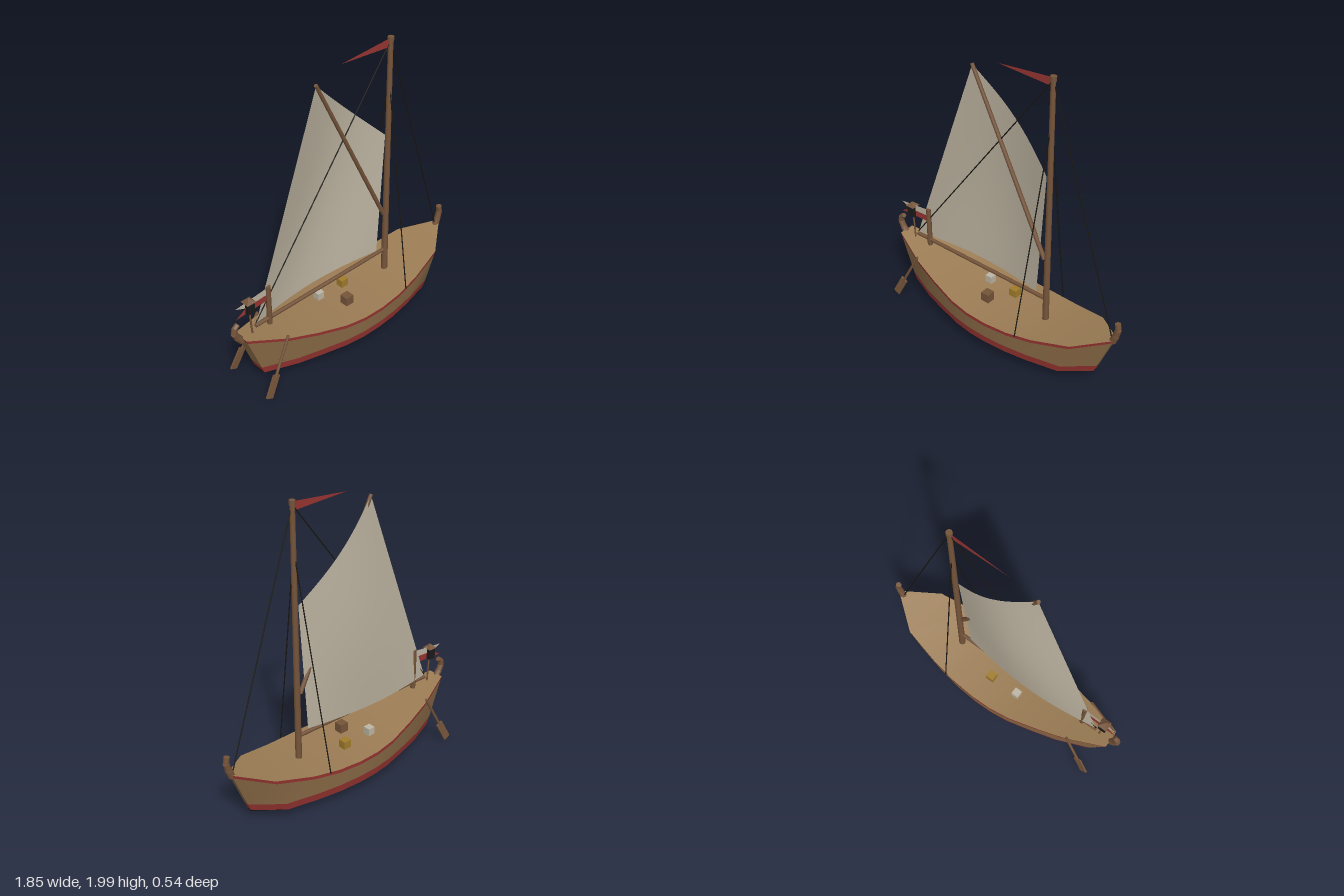
import * as THREE from 'three';

const mat = (color, extra = {}) => new THREE.MeshStandardMaterial({ color, ...extra });
const HULL = mat(0x8b6b47), DECK = mat(0x9c7d55), WOOD = mat(0x75543a), RED = mat(0x963430),
  BLACK = mat(0x1c1a1a), ROPE = mat(0x1a1712), GOLD = mat(0xa07c2c), CREAM = mat(0xbdb5a4);
const CLOTH = mat(0xbbb29f, { side: THREE.DoubleSide });
const RED_CLOTH = mat(0x963430, { side: THREE.DoubleSide });
const V = (x, y, z = 0) => new THREE.Vector3(x, y, z);

// Hull stations: deck-level x, half width, sheer height
const STATIONS = [
  [-0.86, 0.055, 0.44], [-0.61, 0.15, 0.37], [-0.42, 0.2, 0.328], [-0.22, 0.247, 0.295],
  [-0.07, 0.265, 0.282], [0.08, 0.268, 0.28], [0.25, 0.257, 0.288], [0.43, 0.23, 0.31],
  [0.68, 0.177, 0.365], [0.885, 0.02, 0.42],
];

function createModel() {
  const model = new THREE.Group();

  const add = (name, geometry, material, parent = model) => {
    const mesh = new THREE.Mesh(geometry, material);
    mesh.name = name;
    parent.add(mesh);
    return mesh;
  };

  // Surface through rows of points; it faces (along row) x (row to next row)
  const loft = (rows) => {
    const n = rows[0].length, index = [];
    for (let j = 0; j < rows.length - 1; j++)
      for (let i = 0; i < n - 1; i++) {
        const a = j * n + i, d = a + n;
        index.push(a, a + 1, d + 1, a, d + 1, d);
      }
    const g = new THREE.BufferGeometry().setFromPoints(rows.flat());
    g.setIndex(index);
    g.computeVertexNormals();
    return g;
  };

  // Straight round bar between two points
  const bar = (name, a, b, r0, r1 = r0, material = WOOD, sides = 8, parent = model) => {
    const dir = b.clone().sub(a);
    const mesh = add(name, new THREE.CylinderGeometry(r1, r0, dir.length(), sides), material, parent);
    mesh.position.copy(a).add(b).multiplyScalar(0.5);
    mesh.quaternion.setFromUnitVectors(V(0, 1), dir.normalize());
    return mesh;
  };

  const box = (name, w, h, d, x, y, z, material, parent = model) => {
    const mesh = add(name, new THREE.BoxGeometry(w, h, d), material, parent);
    mesh.position.set(x, y, z);
    return mesh;
  };

  // Hull: each level is a line of points from stern to bow, ends raked
  const hull = new THREE.Group();
  hull.name = 'hull';
  model.add(hull);
  const level = (k, side) => STATIONS.map(([x, w, top]) => {
    const keel = 0.025 + 0.055 * Math.abs(x / 0.87) ** 2.5;
    const y = [keel, keel + (0.1 - keel) * 0.4, 0.1, 0.155, top - 0.025, top][k];
    const f = [0, 0.62, 0.92, 0.955, 0.995, 1][k];
    const rake = 1 - 0.15 * Math.min(1, (top - y) / (top - 0.08));
    return V(x * rake, y, side * w * f);
  });
  const bands = [['bottom', 0, 2, BLACK], ['waterlineStripe', 2, 3, RED],
    ['planking', 3, 4, HULL], ['rail', 4, 5, RED]];
  for (const [name, k0, k1, material] of bands) {
    const port = [], starboard = [];
    for (let k = k0; k <= k1; k++) {
      starboard.push(level(k, 1));
      port.push(level(k, -1));
    }
    const down = [...port].reverse();
    if (k0 === 0) add(name, loft([...down, ...starboard.slice(1)]), material, hull);
    else {
      add(name, loft(starboard), material, hull);
      add(name, loft(down), material, hull);
    }
    // Narrow transoms closing both ends
    const end = STATIONS.length - 1;
    add(name + 'Stern', loft(port.map((p, j) => [p[0], starboard[j][0]])), material, hull);
    add(name + 'Bow', loft(port.map((p, j) => [starboard[j][end], p[end]])), material, hull);
  }
  add('deck', loft([level(5, 1), level(5, -1)]), DECK, hull);

  // Curled stem and stern posts made of short chunky pieces
  const curls = {
    bowPost: [V(0.872, 0.4), V(0.893, 0.455), V(0.905, 0.505), V(0.898, 0.55)],
    sternPost: [V(-0.855, 0.41), V(-0.888, 0.455), V(-0.907, 0.495), V(-0.9, 0.53), V(-0.875, 0.55)],
  };
  for (const [name, pts] of Object.entries(curls))
    for (let i = 0; i < pts.length - 1; i++)
      bar(name, pts[i], pts[i + 1], 0.024 - i * 0.002, 0.023 - i * 0.002);

  // Mast and spars
  bar('mast', V(0.365, 0.27), V(0.365, 1.98), 0.022, 0.016, WOOD, 10);
  bar('mastCap', V(0.365, 1.97), V(0.365, 2), 0.02, 0.02);
  bar('boom', V(-0.745, 0.46), V(0.365, 0.46), 0.013);
  bar('sprit', V(0.34, 0.76), V(-0.222, 1.895), 0.015, 0.012);

  // Four-cornered sail bellied to one side
  const peak = V(-0.22, 1.89), throat = V(0.34, 1.35), clew = V(-0.74, 0.475), tack = V(0.285, 0.48);
  const rows = [];
  for (let j = 0; j <= 12; j++) {
    const v = j / 12, row = [];
    const a = clew.clone().lerp(peak, v), b = tack.clone().lerp(throat, v);
    for (let i = 0; i <= 12; i++) {
      const p = a.clone().lerp(b, i / 12);
      p.z = -Math.sin(Math.PI * i / 12) * (0.05 + 0.022 * Math.sin(Math.PI * v));
      row.push(p);
    }
    rows.push(row);
  }
  add('sail', loft(rows), CLOTH);

  // Standing rigging
  bar('forestay', V(0.375, 1.95), V(0.865, 0.42), 0.004, 0.004, ROPE, 5);
  bar('backstay', V(0.355, 1.96), V(-0.74, 0.48), 0.004, 0.004, ROPE, 5);
  for (const s of [-1, 1])
    bar('shroud', V(0.363, 1.66, s * 0.01), V(0.315, 0.29, s * 0.252), 0.004, 0.004, ROPE, 5);

  // Pennant and swallow-tailed stern flag
  const cloth = (name, pts, material) => add(name,
    new THREE.ShapeGeometry(new THREE.Shape(pts.map(([x, y]) => new THREE.Vector2(x, y)))), material);
  cloth('pennant', [[0.355, 1.935], [0.355, 1.99], [-0.03, 1.957]], RED_CLOTH);
  bar('flagPost', V(-0.635, 0.415), V(-0.635, 0.705), 0.017);
  cloth('flagTop', [[-0.64, 0.645], [-0.64, 0.695], [-0.885, 0.667], [-0.81, 0.635]], CLOTH);
  cloth('flagBottom', [[-0.64, 0.6], [-0.64, 0.645], [-0.81, 0.635], [-0.885, 0.587]], RED_CLOTH);

  // Stern lantern
  const lantern = new THREE.Group();
  lantern.name = 'lantern';
  model.add(lantern);
  bar('lanternPole', V(-0.772, 0.42), V(-0.784, 0.6), 0.006, 0.006, WOOD, 6, lantern);
  box('lanternBody', 0.052, 0.078, 0.052, -0.785, 0.634, 0, BLACK, lantern);
  const roof = add('lanternRoof', new THREE.ConeGeometry(0.047, 0.03, 4).rotateY(Math.PI / 4), WOOD, lantern);
  roof.position.set(-0.785, 0.687, 0);
  roof.material = mat(0x75543a, { flatShading: true });

  // Steering oars on both quarters
  for (const s of [-1, 1]) {
    const oar = new THREE.Group();
    oar.name = 'steeringOar';
    const top = V(-0.615, 0.395, s * 0.148), foot = V(-0.81, 0.02, s * 0.178);
    const length = top.distanceTo(foot);
    bar('oarShaft', V(0, -length * 0.7), V(0, 0), 0.009, 0.009, WOOD, 8, oar);
    box('oarBlade', 0.052, 0.16, 0.012, 0, 0.08 - length, 0, WOOD, oar);
    oar.position.copy(top);
    oar.quaternion.setFromUnitVectors(V(0, -1), foot.sub(top).normalize());
    model.add(oar);
  }

  // Cargo on deck
  box('crate', 0.05, 0.058, 0.05, -0.16, 0.312, -0.08, CREAM);
  box('crate', 0.06, 0.065, 0.06, -0.055, 0.312, 0.075, WOOD);
  box('crate', 0.055, 0.055, 0.055, 0.05, 0.307, -0.08, GOLD);

  return model;
}

export { createModel };
